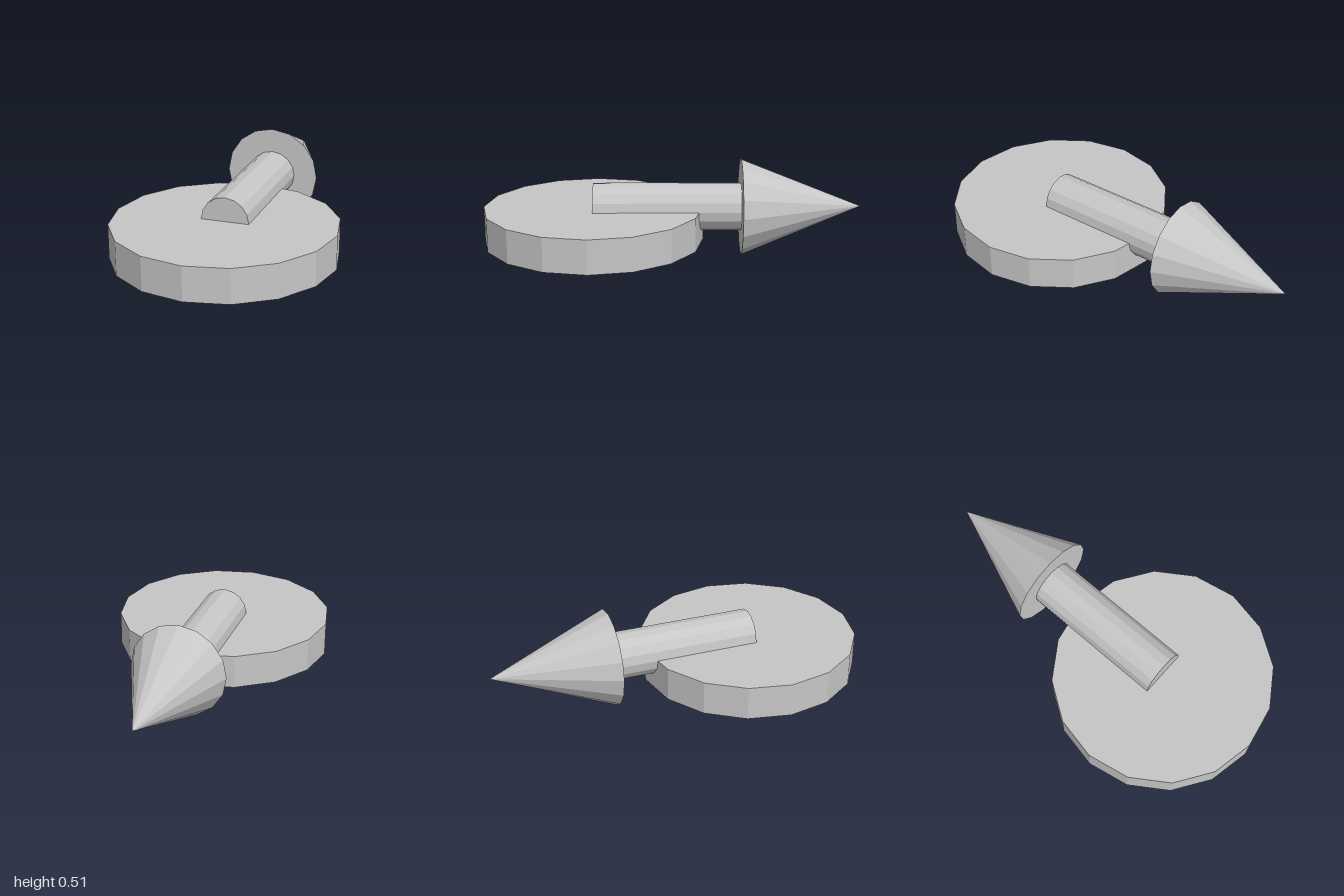
import * as THREE from 'three';

const SIDES = 16;
const AXIS_Y = 0.257; // height of the arrow's axis, level with the disc top

export function createModel() {
  const group = new THREE.Group();
  const grey = new THREE.MeshStandardMaterial({ color: 0xc6c6c6, flatShading: true });
  grey.name = 'light grey';

  const add = (name, geometry, y, z) => {
    const mesh = new THREE.Mesh(geometry, grey);
    mesh.name = name;
    mesh.position.set(0, y, z);
    group.add(mesh);
  };

  // Flat round base
  const baseHeight = 0.181;
  add('baseDisc', new THREE.CylinderGeometry(0.582, 0.582, baseHeight, SIDES), AXIS_Y - baseHeight / 2, 0.418);

  // Shaft from the disc centre to the arrowhead, half sunk into the disc
  const shaftFront = 0.418, headBack = -0.364;
  const shaft = new THREE.CylinderGeometry(0.127, 0.127, shaftFront - headBack, SIDES).rotateX(-Math.PI / 2);
  add('arrowShaft', shaft, AXIS_Y, (shaftFront + headBack) / 2);

  // Conical arrowhead pointing backwards
  const head = new THREE.ConeGeometry(0.256, 1 + headBack, SIDES).rotateX(-Math.PI / 2);
  add('arrowHead', head, AXIS_Y, (headBack - 1) / 2);

  return group;
}
